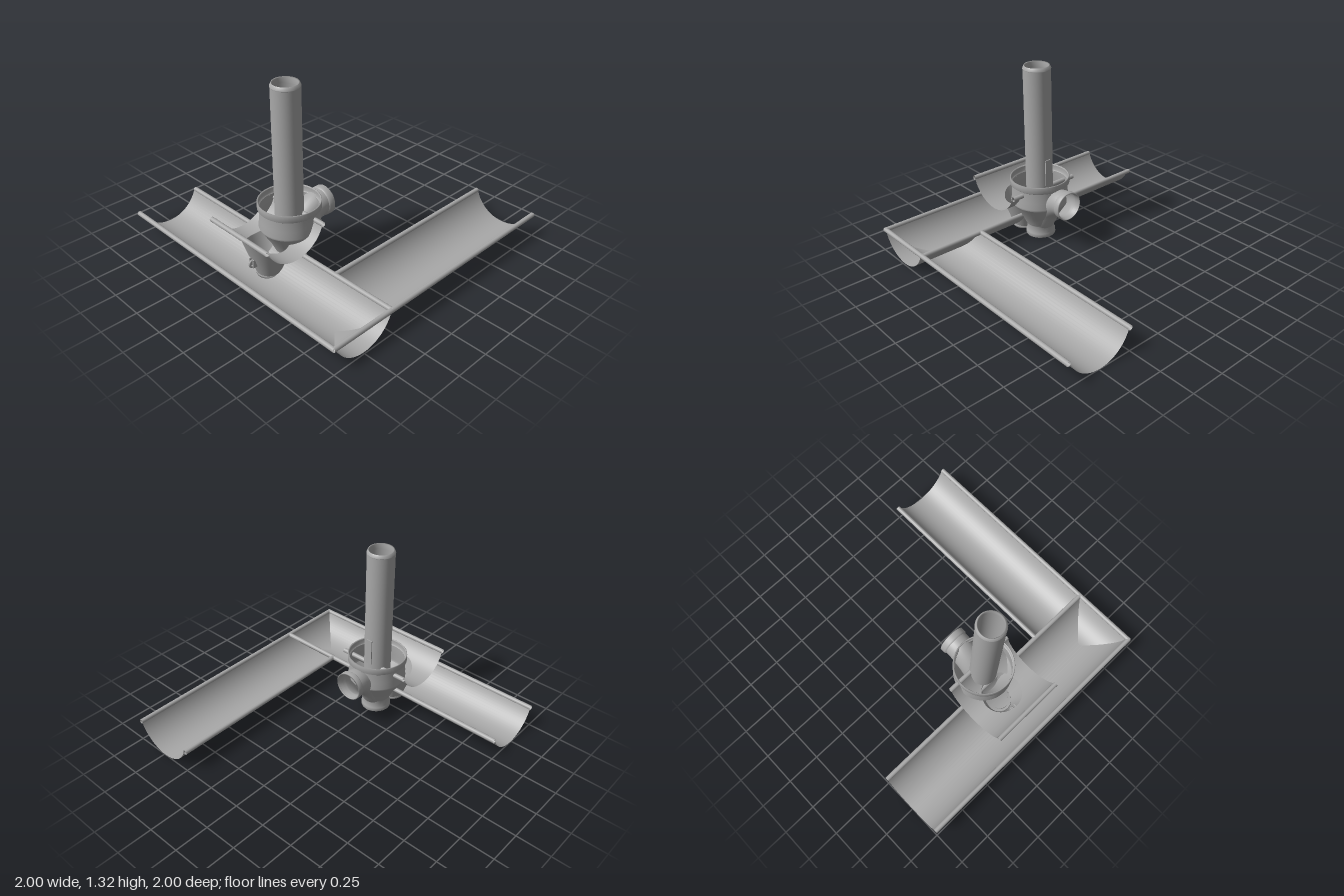
import * as THREE from 'three';
import { ParametricGeometry } from 'three/addons/geometries/ParametricGeometry.js';

const metal = new THREE.MeshStandardMaterial({ color: 0xa8a8a8, side: THREE.DoubleSide });
metal.name = 'grey metal';

const MID = 0.74, HALF = 0.23, DEPTH = 0.166, BEAD = 0.017;
const ARC_R = (HALF * HALF + DEPTH * DEPTH) / (2 * DEPTH);
// height of the half-round gutter at offset d from its centre line
const trough = (d) => ARC_R - Math.sqrt(Math.max(0, ARC_R * ARC_R - d * d));

export function createModel() {
  const model = new THREE.Group();
  const add = (name, geometry, x = 0, y = 0, z = 0) => {
    const mesh = new THREE.Mesh(geometry, metal);
    mesh.name = name;
    mesh.position.set(x, y, z);
    model.add(mesh);
    return mesh;
  };
  const sheet = (name, nu, nv, f) =>
    add(name, new ParametricGeometry((u, v, p) => p.set(...f(u, v)), nu, nv));
  const lathe = (name, pts, y, z) =>
    add(name, new THREE.LatheGeometry(pts.map((p) => new THREE.Vector2(...p)), 48), 0, y, z);
  // rolled edge along x or z
  const bead = (name, axis, a, b, y, other) => {
    const g = new THREE.CylinderGeometry(BEAD, BEAD, b - a, 16, 1, true);
    const m = (a + b) / 2;
    if (axis === 'x') add(name, g.rotateZ(Math.PI / 2), m, y, other);
    else add(name, g.rotateX(Math.PI / 2), other, y, m);
  };
  const offset = (u) => HALF * Math.sin((u - 0.5) * Math.PI);

  // front gutter, running along x
  sheet('frontGutter', 32, 1, (u, v) => {
    const d = offset(u);
    return [-1 + 1.99 * v, trough(d), MID + d];
  });
  bead('frontGutterOuterBead', 'x', -1, 0.99, 0.167, 0.983);
  bead('frontGutterInnerBead', 'x', -1, 0.99, 0.167, 0.497);

  // side gutter, running along z and mitred into the front one
  sheet('sideGutter', 32, 1, (u, v) => {
    const d = offset(u);
    return [MID + d, trough(d), -1 + v * (1 + MID - Math.abs(d))];
  });
  bead('sideGutterOuterBead', 'z', -1, 0.99, 0.167, 0.983);
  bead('sideGutterInnerBead', 'z', -1, 0.497, 0.167, 0.497);

  // triangular wall that closes the corner
  sheet('cornerWall', 16, 8, (u, v) => {
    const d = 0.01 + (HALF - 0.01) * u;
    return [MID + d, trough(d) + 0.002, MID + d * (2 * v - 1)];
  });

  // short outlet trough with a round hole
  const OZ = 0.625, OY = 0.232, OX = 0.28;
  const outletY = (z) => OY + trough(z - OZ);
  sheet('outletTrough', 96, 10, (u, v) => {
    const side = Math.min(3, Math.floor(u * 4)), t = (u * 4 - side) * 2 - 1;
    const [px, pz] = [[1, t], [-t, 1], [-1, -t], [t, -1]][side];
    const x = px * OX, z = pz * HALF, len = Math.hypot(x, z);
    const k = 0.145 / len + (1 - 0.145 / len) * v;
    return [x * k, outletY(OZ + z * k), OZ + z * k];
  });
  for (const s of [-1, 1]) bead('outletTroughBead', 'x', -OX, OX, 0.395, OZ + s * 0.237);

  // funnel under the trough, its top edge following the trough
  const funnelR = (y) => 0.08 + 0.345 * y;
  sheet('outletFunnel', 64, 8, (u, v) => {
    const a = u * Math.PI * 2;
    let top = 0.25;
    for (let i = 0; i < 12; i++) top = outletY(OZ + funnelR(top) * Math.sin(a));
    const y = 0.01 + (top - 0.01) * v, r = funnelR(y);
    return [r * Math.cos(a), y, OZ + r * Math.sin(a)];
  });
  lathe('funnelRim', [[0.085, 0.03], [0.09, 0.015], [0.088, 0.002], [0.065, 0.002], [0.065, 0.03]], 0, OZ);

  // small clip on the front of the funnel
  const clip = add('funnelClip', new THREE.TorusGeometry(0.025, 0.007, 8, 20), 0, 0.135, 0.765);
  clip.rotation.y = Math.PI / 2;
  for (const s of [-1, 1])
    add('clipLug', new THREE.BoxGeometry(0.008, 0.06, 0.04), s * 0.018, 0.14, 0.755);

  // collector: open collar, cone and outlet spigot
  const CZ = 0.43;
  lathe('collectorCollar', [[0.204, 0.425], [0.217, 0.435], [0.217, 0.478], [0.211, 0.483], [0.207, 0.475]], 0, CZ);
  lathe('collectorBody', [[0.204, 0.43], [0.205, 0.35], [0.212, 0.3], [0.207, 0.285]], 0, CZ);
  lathe('collectorCone', [[0.207, 0.285], [0.14, 0.18], [0.11, 0.115]], 0, CZ);
  lathe('collectorSpigot', [[0.11, 0.115], [0.1, 0.1], [0.1, 0.05], [0.108, 0.045], [0.108, 0.015], [0.098, 0.012]], 0, CZ);

  // branch elbow leaving towards the back
  const bend = new THREE.CatmullRomCurve3([
    [0, 0.35, 0.12], [0, 0.345, 0.2], [0, 0.27, 0.32], [0, 0.14, 0.41],
  ].map((p) => new THREE.Vector3(...p)));
  add('branchElbow', new THREE.TubeGeometry(bend, 24, 0.097, 32));
  const mouth = lathe('branchMouth', [[0.097, -0.04], [0.106, -0.03], [0.106, 0.008], [0.098, 0.012], [0.094, -0.03]], 0.35, 0.117);
  mouth.rotation.x = -Math.PI / 2;

  // downpipe standing in the collector
  lathe('downpipe', [[0.098, 0.3], [0.098, 1.295]], 0, CZ + 0.003);
  lathe('downpipeRim', [[0.098, 1.295], [0.1, 1.3], [0.09, 1.323], [0.084, 1.318], [0.084, 1.28]], 0, CZ + 0.003);
  add('downpipeStrip', new THREE.BoxGeometry(0.045, 0.2, 0.009), 0, 0.535, 0.334);

  return model;
}
